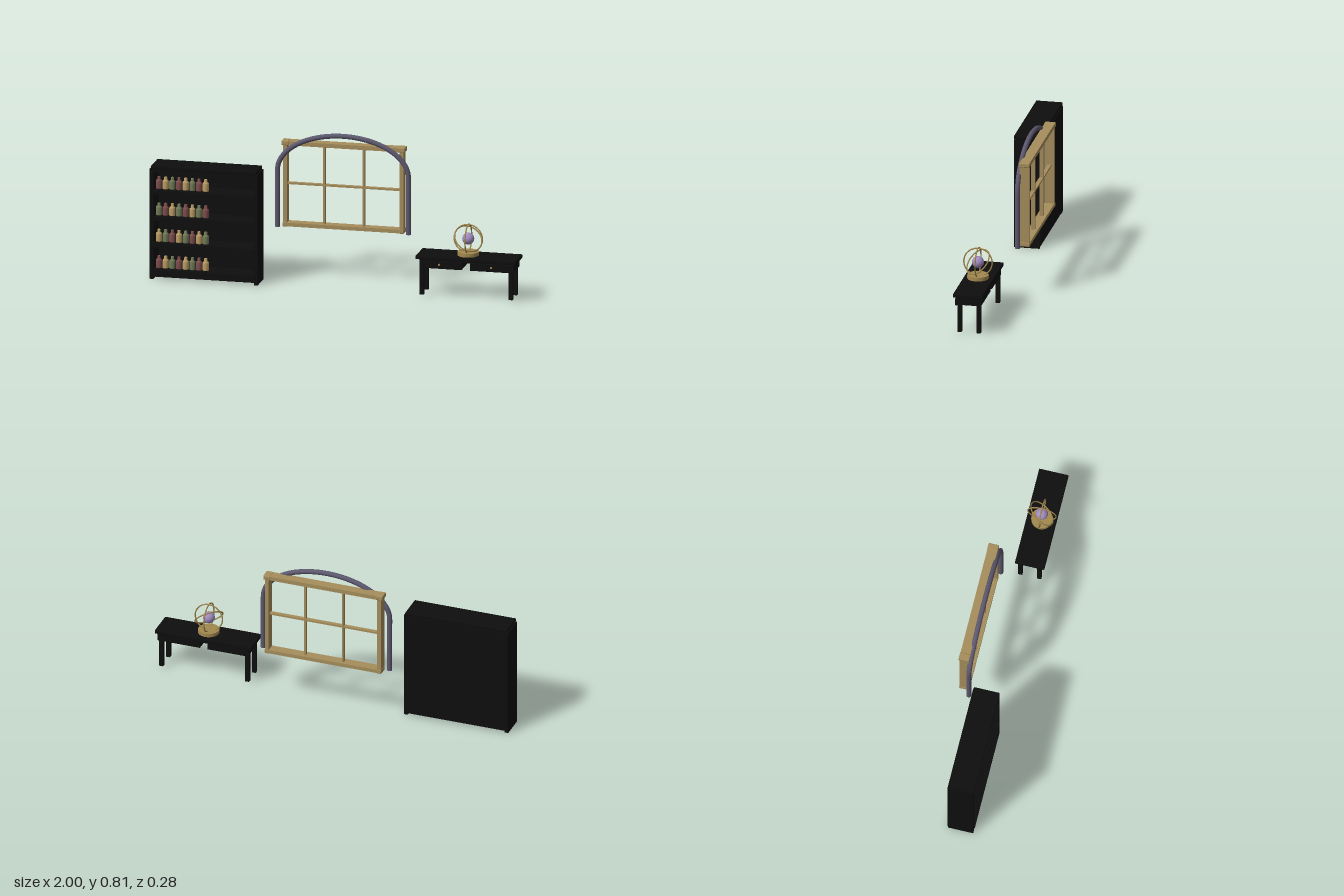
import * as THREE from 'three';
import { RoundedBoxGeometry } from 'three/addons/geometries/RoundedBoxGeometry.js';

const material = (name, color) => {
  const m = new THREE.MeshStandardMaterial({ color });
  m.name = name;
  return m;
};

export function createModel() {
  const ebony = material('ebony', 0x0e0e0e);
  const oak = material('oak', 0xa68e5c);
  const brass = material('brass', 0xa3894f);
  const slate = material('slate violet', 0x5d586e);
  const crystal = material('lilac crystal', 0xa18cc0);
  const glass = [
    material('red glass', 0x7d4c4c),
    material('amber glass', 0xb89b62),
    material('green glass', 0x6f7a56),
  ];

  const root = new THREE.Group();
  root.name = 'studyFurniture';
  const group = (name) => {
    const g = new THREE.Group();
    g.name = name;
    root.add(g);
    return g;
  };
  const add = (parent, name, geometry, mat, x = 0, y = 0, z = 0) => {
    const m = new THREE.Mesh(geometry, mat);
    m.name = name;
    m.position.set(x, y, z);
    parent.add(m);
    return m;
  };
  // Box given by its minimum and maximum along each axis
  const box = (parent, name, mat, [x0, x1], [y0, y1], [z0, z1], bevel = 0) => {
    const s = [x1 - x0, y1 - y0, z1 - z0];
    const geo = bevel ? new RoundedBoxGeometry(...s, 2, bevel) : new THREE.BoxGeometry(...s);
    return add(parent, name, geo, mat, (x0 + x1) / 2, (y0 + y1) / 2, (z0 + z1) / 2);
  };

  // Bookcase
  const bookcase = group('bookcase');
  for (const x of [-1, -0.432]) {
    box(bookcase, 'sidePanel', ebony, [x, x + 0.02], [0, 0.604], [-0.031, 0.106]);
  }
  box(bookcase, 'backPanel', ebony, [-0.995, -0.417], [0.012, 0.6], [-0.035, -0.024]);
  box(bookcase, 'cornice', ebony, [-0.992, -0.42], [0.603, 0.622], [-0.033, 0.11], 0.004);
  box(bookcase, 'topPanel', ebony, [-0.982, -0.43], [0.585, 0.604], [-0.028, 0.102]);
  box(bookcase, 'plinth', ebony, [-0.982, -0.43], [0.012, 0.034], [0.085, 0.103]);

  // Shelves, each with a row of bottles
  const bottle = new THREE.LatheGeometry([
    [0, 0], [0.016, 0], [0.017, 0.003], [0.017, 0.04], [0.015, 0.046],
    [0.0085, 0.051], [0.0085, 0.064], [0.007, 0.066], [0, 0.066],
  ].map(([r, y]) => new THREE.Vector2(r, y)), 16);
  for (let row = 0; row < 4; row++) {
    const y = 0.051 + row * 0.1448;
    box(bookcase, 'shelf', ebony, [-0.982, -0.43], [y - 0.018, y], [-0.026, 0.1]);
    box(bookcase, 'shelfLip', ebony, [-0.982, -0.43], [y - 0.02, y - 0.002], [0.098, 0.11]);
    for (let i = 0; i < 8; i++) {
      add(bookcase, 'bottle', bottle, glass[(row + i) % 3], -0.961 + i * 0.0364, y, 0.055);
    }
  }

  // Window frame with six panes
  const win = group('windowFrame');
  const cx = 0.008;
  for (const s of [-1, 1]) {
    const mid = cx + s * 0.317;
    box(win, 'post', oak, [mid - 0.011, mid + 0.011], [0.283, 0.745], [-0.135, -0.083]);
    box(win, 'topCap', oak, [mid - 0.02, mid + 0.02], [0.726, 0.751], [-0.138, -0.08], 0.005);
    box(win, 'bottomCap', oak, [mid - 0.013, mid + 0.013], [0.28, 0.303], [-0.137, -0.081], 0.004);
    const mx = cx + s * 0.107;
    box(win, 'mullion', oak, [mx - 0.005, mx + 0.005], [0.295, 0.735], [-0.12, -0.098]);
  }
  box(win, 'topRail', oak, [cx - 0.31, cx + 0.31], [0.727, 0.749], [-0.136, -0.082]);
  box(win, 'bottomRail', oak, [cx - 0.31, cx + 0.31], [0.282, 0.302], [-0.136, -0.082]);
  box(win, 'crossbar', oak, [cx - 0.31, cx + 0.31], [0.51, 0.52], [-0.12, -0.098]);

  // Arch: straight legs joined by half an ellipse
  const arch = group('archway');
  const points = [];
  for (let i = 0; i < 8; i++) points.push(new THREE.Vector3(-0.357, 0.28 + i * 0.0388, 0));
  for (let i = 0; i <= 24; i++) {
    const a = Math.PI * (1 - i / 24);
    points.push(new THREE.Vector3(0.357 * Math.cos(a), 0.59 + 0.207 * Math.sin(a), 0));
  }
  for (let i = 7; i >= 0; i--) points.push(new THREE.Vector3(0.357, 0.28 + i * 0.0388, 0));
  const path = new THREE.CatmullRomCurve3(points);
  add(arch, 'archTube', new THREE.TubeGeometry(path, 100, 0.0135, 12), slate, 0.009, 0, -0.077);
  for (const x of [-0.348, 0.366]) {
    const end = add(arch, 'archFoot', new THREE.CircleGeometry(0.0135, 12), slate, x, 0.28, -0.077);
    end.rotation.x = Math.PI / 2;
  }

  // Writing table with two drawers
  const table = group('table');
  box(table, 'tableTop', ebony, [0.455, 1], [0.208, 0.228], [-0.022, 0.138], 0.004);
  box(table, 'apron', ebony, [0.475, 0.98], [0.198, 0.209], [-0.01, 0.118]);
  for (const [x0, x1] of [[0.477, 0.706], [0.748, 0.986]]) {
    box(table, 'drawer', ebony, [x0, x1], [0.165, 0.204], [-0.012, 0.118]);
    box(table, 'drawerFront', ebony, [x0, x1], [0.16, 0.202], [0.117, 0.128], 0.003);
    const knob = add(table, 'drawerKnob', new THREE.CylinderGeometry(0.006, 0.004, 0.011, 12), brass,
      x0 === 0.477 ? 0.583 : 0.866, 0.185, 0.133);
    knob.rotation.x = Math.PI / 2;
  }
  for (const x of [0.483, 0.968]) {
    for (const z of [0.003, 0.106]) {
      box(table, 'leg', ebony, [x - 0.011, x + 0.011], [0.01, 0.209], [z - 0.011, z + 0.011]);
    }
  }

  // Ringed orb on a round base
  const orb = group('ringedOrb');
  orb.position.set(0.724, 0.318, 0.06);
  add(orb, 'orbBase', new THREE.CylinderGeometry(0.057, 0.057, 0.02, 32), brass, 0, -0.08, 0);
  add(orb, 'orb', new THREE.SphereGeometry(0.032, 32, 20), crystal);
  const ring = new THREE.TorusGeometry(0.077, 0.0037, 8, 48);
  for (const [rx, ry] of [[0, 0], [0, Math.PI / 2], [-0.88, 0.52]]) {
    add(orb, 'ring', ring, brass).rotation.set(rx, ry, 0);
  }

  return root;
}
